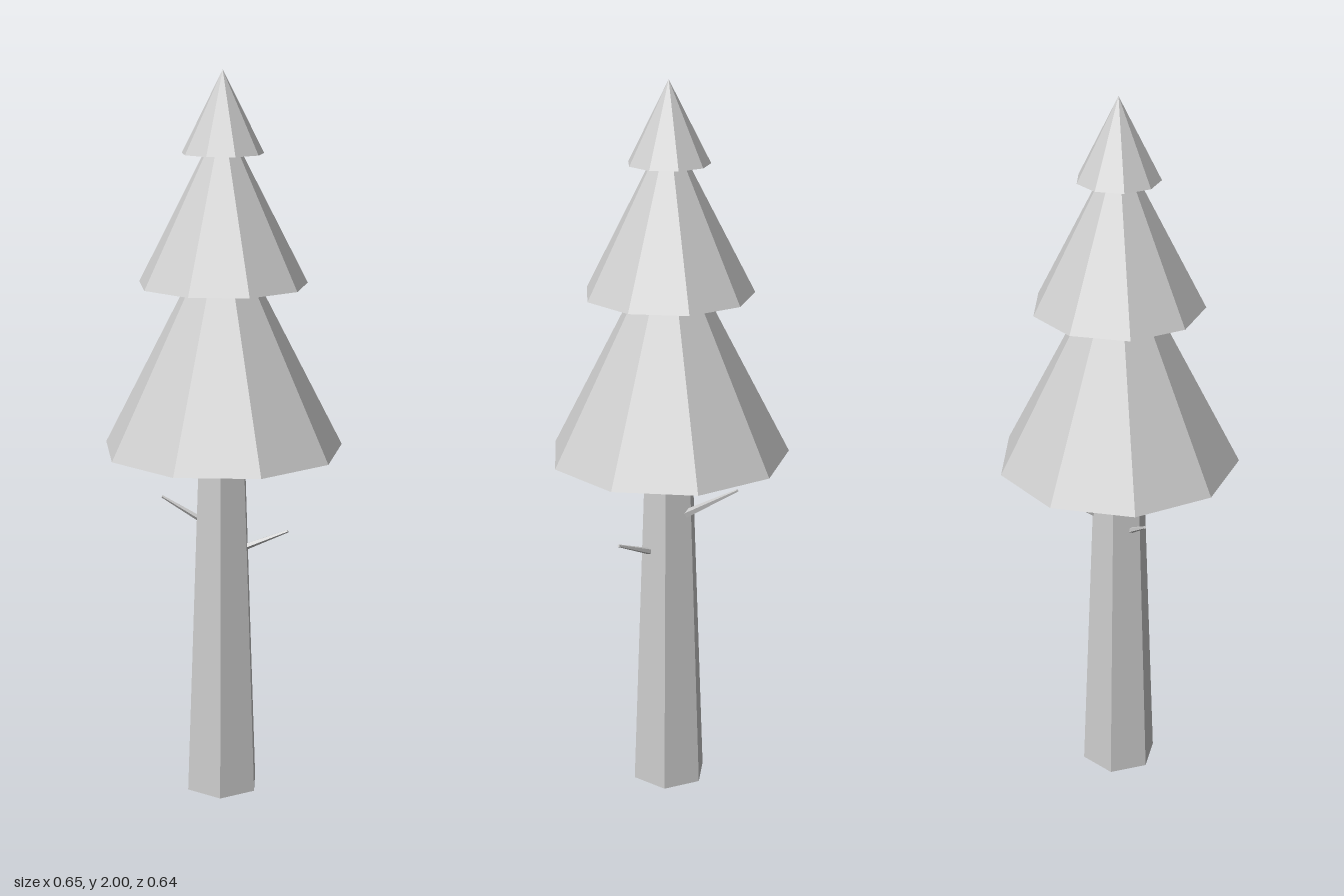
import * as THREE from 'three';

const CENTRE_Z = 0.012;

export function createModel() {
  const tree = new THREE.Group();
  tree.name = 'pineTree';
  const grey = new THREE.MeshStandardMaterial({ color: 0xcccccc, flatShading: true });
  grey.name = 'light grey';

  const add = (name, geometry) => {
    const mesh = new THREE.Mesh(geometry, grey);
    mesh.name = name;
    tree.add(mesh);
    return mesh;
  };

  // Tapered six-sided trunk
  const trunk = add('trunk', new THREE.CylinderGeometry(0.07, 0.108, 0.99, 6));
  trunk.position.set(-0.002, 0.495, CENTRE_Z);

  // Nine-sided foliage cones: base height, apex height, radius
  const tiers = [
    ['lowerFoliage', 0.99, 1.63, 0.33],
    ['middleFoliage', 1.44, 1.885, 0.23],
    ['topFoliage', 1.785, 2.0, 0.11],
  ];
  for (const [name, base, apex, radius] of tiers) {
    const cone = add(name, new THREE.ConeGeometry(radius, apex - base, 9, 1, false, Math.PI));
    cone.position.set(0, (base + apex) / 2, 0.01);
  }

  // Bare twigs running from inside the trunk to their tips
  const up = new THREE.Vector3(0, 1, 0);
  const twigs = [
    ['leftTwig', [0.05, 0.708, 0.026], [0.18, 0.766, 0.046], 0.01],
    ['rightTwig', [-0.05, 0.785, 0.026], [-0.165, 0.857, 0.033], 0.009],
    ['backTwig', [0.002, 0.815, -0.035], [0.012, 0.938, -0.227], 0.013],
  ];
  for (const [name, from, to, radius] of twigs) {
    const a = new THREE.Vector3(...from);
    const b = new THREE.Vector3(...to);
    const along = b.clone().sub(a);
    const twig = add(name, new THREE.CylinderGeometry(0.004, radius, along.length(), 5));
    twig.position.copy(a).add(b).multiplyScalar(0.5);
    twig.quaternion.setFromUnitVectors(up, along.normalize());
  }
  return tree;
}
